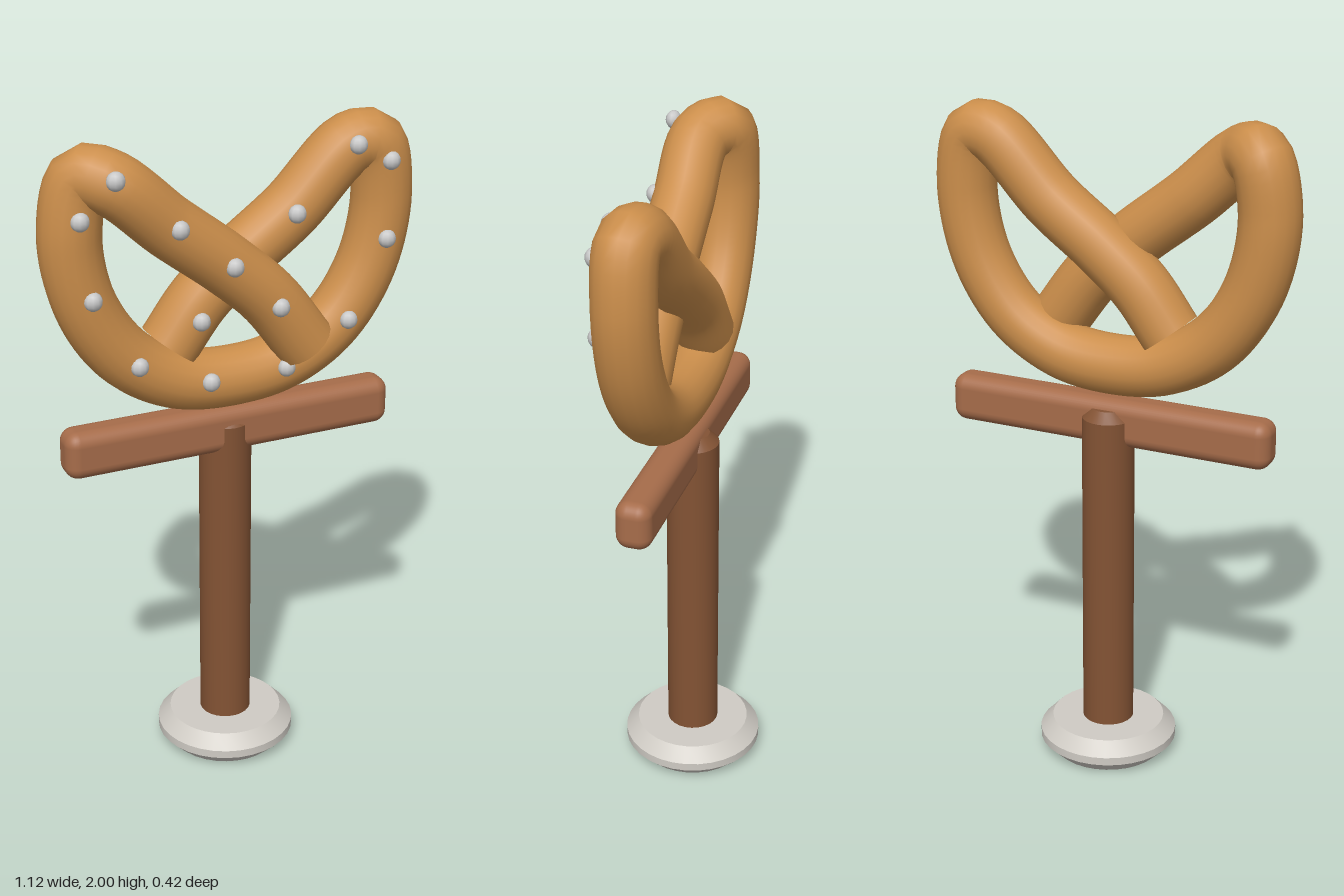
import * as THREE from 'three';
import { toCreasedNormals } from 'three/addons/utils/BufferGeometryUtils.js';
import { RoundedBoxGeometry } from 'three/addons/geometries/RoundedBoxGeometry.js';

const material = (name, color) => {
  const m = new THREE.MeshStandardMaterial({ color });
  m.name = name;
  return m;
};

export function createModel() {
  const model = new THREE.Group();
  model.name = 'pretzelSign';
  const dough = material('baked dough', 0xcb8e4b);
  const saltGrey = material('salt', 0xc8c8c8);
  const postWood = material('dark wood', 0x835334);
  const boardWood = material('light wood', 0xa66c4a);
  const stone = material('pale stone', 0xcfcbc4);

  const add = (name, geometry, mat, parent = model) => {
    const mesh = new THREE.Mesh(geometry, mat);
    mesh.name = name;
    parent.add(mesh);
    return mesh;
  };
  const turned = (profile, segments) => toCreasedNormals(
    new THREE.LatheGeometry(profile.map(([r, y]) => new THREE.Vector2(r, y)), segments), 0.5);

  // Bevelled foot and chamfered post
  add('base', turned([[0, 0], [0.17, 0], [0.21, 0.04], [0.21, 0.065], [0.172, 0.105], [0, 0.105]], 32), stone);
  add('post', turned([[0, 0.1], [0.078, 0.1], [0.078, 1.1], [0.05, 1.13], [0, 1.13]], 24), postWood);

  // Crossboard
  add('crossboard', new RoundedBoxGeometry(1.02, 0.145, 0.106, 4, 0.04), boardWood)
    .position.set(0, 1.0875, 0.017);

  // Pretzel: one rope from the front arm, round the loop, to the back arm
  const pretzel = new THREE.Group();
  pretzel.name = 'pretzel';
  model.add(pretzel);
  const radius = 0.089;
  const path = new THREE.CatmullRomCurve3([
    [0.205, 1.345, 0.097], [0.09, 1.5, 0.097], [-0.04, 1.62, 0.097], [-0.21, 1.755, 0.097], [-0.37, 1.895, 0.093],
    [-0.435, 1.905, 0.045], [-0.472, 1.74, 0.035], [-0.43, 1.53, 0.035], [-0.32, 1.365, 0.035], [-0.17, 1.275, 0.035],
    [0, 1.251, 0.035],
    [0.17, 1.275, 0.035], [0.32, 1.365, 0.035], [0.43, 1.53, 0.035], [0.472, 1.74, 0.035], [0.44, 1.895, 0.035],
    [0.37, 1.895, 0.028], [0.19, 1.725, 0.025], [0.03, 1.605, 0.025], [-0.09, 1.5, 0.025], [-0.185, 1.375, 0.025],
  ].map((p) => new THREE.Vector3(...p)));
  add('rope', new THREE.TubeGeometry(path, 140, radius, 18), dough, pretzel);
  for (const [t, sign] of [[0, -1], [1, 1]]) {
    const cap = add('ropeEnd', new THREE.CircleGeometry(radius, 18), dough, pretzel);
    const end = path.getPointAt(t);
    cap.position.copy(end);
    cap.lookAt(end.clone().addScaledVector(path.getTangentAt(t), sign));
  }

  // Salt grains along the front of each stretch, grouped by depth
  const grain = new THREE.SphereGeometry(0.027, 10, 8);
  const grains = [
    [0.183, [[-0.39, 1.93], [-0.21, 1.77], [-0.05, 1.64], [0.09, 1.5]]],
    [0.112, [[0.17, 1.74], [0.355, 1.915], [-0.12, 1.465]]],
    [0.121, [[-0.47, 1.81], [-0.44, 1.58], [-0.31, 1.365], [-0.095, 1.28],
      [0.14, 1.285], [0.335, 1.4], [0.45, 1.63], [0.455, 1.86]]],
  ];
  for (const [z, spots] of grains) {
    for (const [x, y] of spots) {
      const salt = add('saltGrain', grain, saltGrey, pretzel);
      salt.position.set(x, y, z);
      salt.scale.z = 0.85;
    }
  }
  return model;
}
